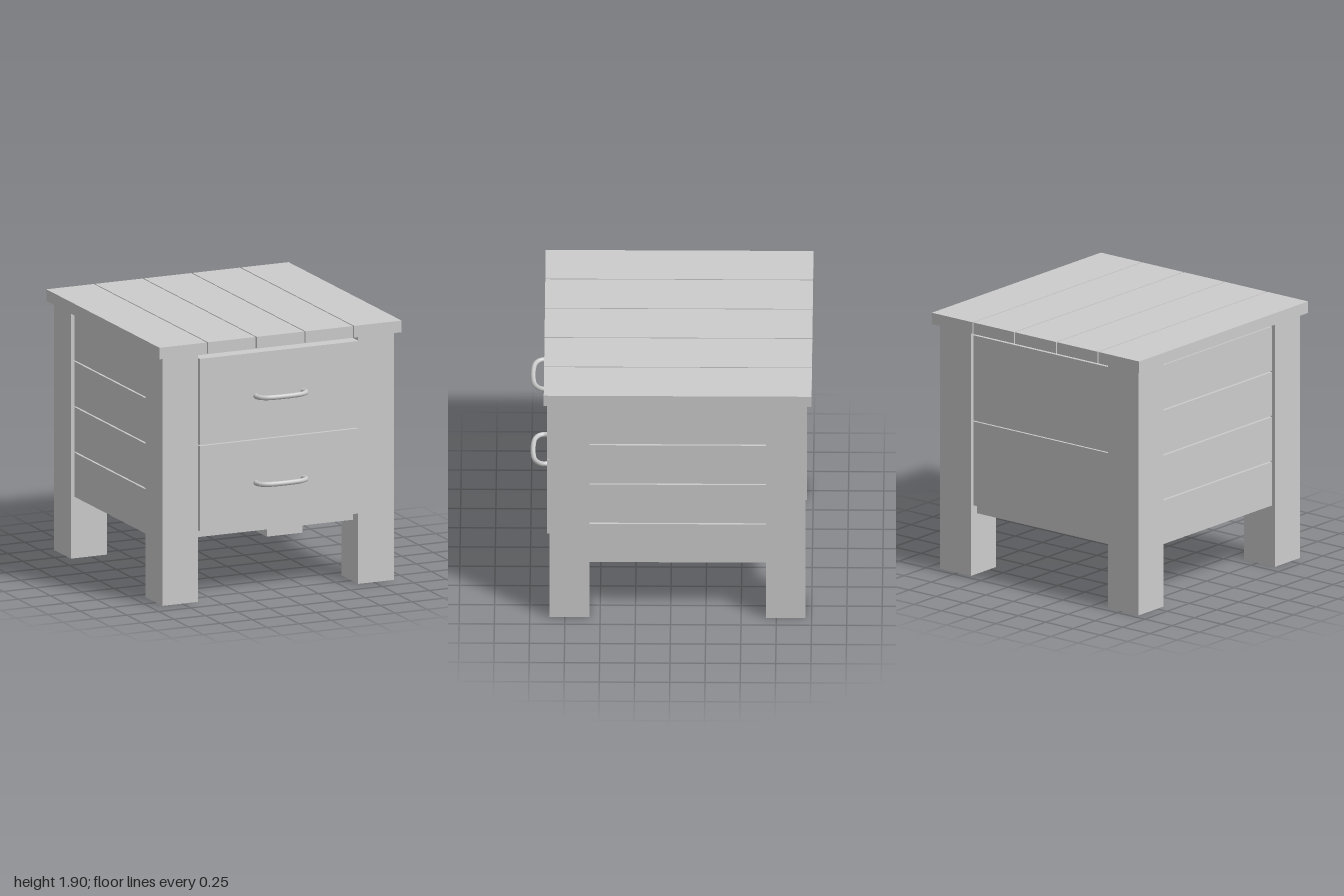
import * as THREE from 'three';

export function createModel() {
  const group = new THREE.Group();
  const paint = new THREE.MeshStandardMaterial({ color: 0xcccccc });
  paint.name = 'greyPaint';

  const add = (name, geometry) => {
    const mesh = new THREE.Mesh(geometry, paint);
    mesh.name = name;
    group.add(mesh);
    return mesh;
  };

  // Box given by its limits on each axis
  const box = (name, [x0, x1], [y0, y1], [z0, z1]) =>
    add(name, new THREE.BoxGeometry(x1 - x0, y1 - y0, z1 - z0))
      .position.set((x0 + x1) / 2, (y0 + y1) / 2, (z0 + z1) / 2);

  // Table top: five planks with narrow gaps
  for (let i = 0; i < 5; i++) {
    const x = (i - 2) * 0.381;
    box('topPlank', [x - 0.186, x + 0.186], [1.815, 1.9], [-1, 0.9]);
  }

  // Inner carcass, a cross shape that fits between the legs
  box('carcass', [-0.626, 0.626], [0.45, 1.814], [-0.89, 0.775]);
  box('carcassSides', [-0.835, 0.835], [0.45, 1.813], [-0.675, 0.577]);

  // Four square legs and the side slats
  for (const s of [-1, 1]) {
    const span = (a, b) => (s > 0 ? [a, b] : [-b, -a]);
    box('frontLeg', span(0.626, 0.907), [0, 1.815], [0.577, 0.86]);
    box('backLeg', span(0.626, 0.907), [0, 1.815], [-0.956, -0.675]);
    for (let i = 0; i < 4; i++) {
      const y = 0.45 + i * 0.333;
      box('sideSlat', span(0.835, 0.88), [y, y + (i < 3 ? 0.323 : 0.328)], [-0.675, 0.577]);
    }
  }

  // Handle: a shallow bow that curls back to the drawer front
  const half = [[0.182, 0.875], [0.192, 0.9], [0.18, 0.938], [0.14, 0.967], [0.07, 0.98]];
  const points = [
    ...half.map(([x, z]) => new THREE.Vector3(-x, 0, z)),
    ...half.slice().reverse().map(([x, z]) => new THREE.Vector3(x, 0, z)),
  ];
  const handle = new THREE.TubeGeometry(new THREE.CatmullRomCurve3(points), 28, 0.018, 8);

  // Two drawer fronts with handles, and two matching back panels
  for (const [y0, y1] of [[0.52, 1.142], [1.149, 1.78]]) {
    box('drawerFront', [-0.622, 0.622], [y0, y1], [0.775, 0.88]);
    box('backPanel', [-0.622, 0.622], [y0, y1], [-0.935, -0.89]);
    add('drawerHandle', handle).position.y = (y0 + y1) / 2;
  }

  return group;
}
